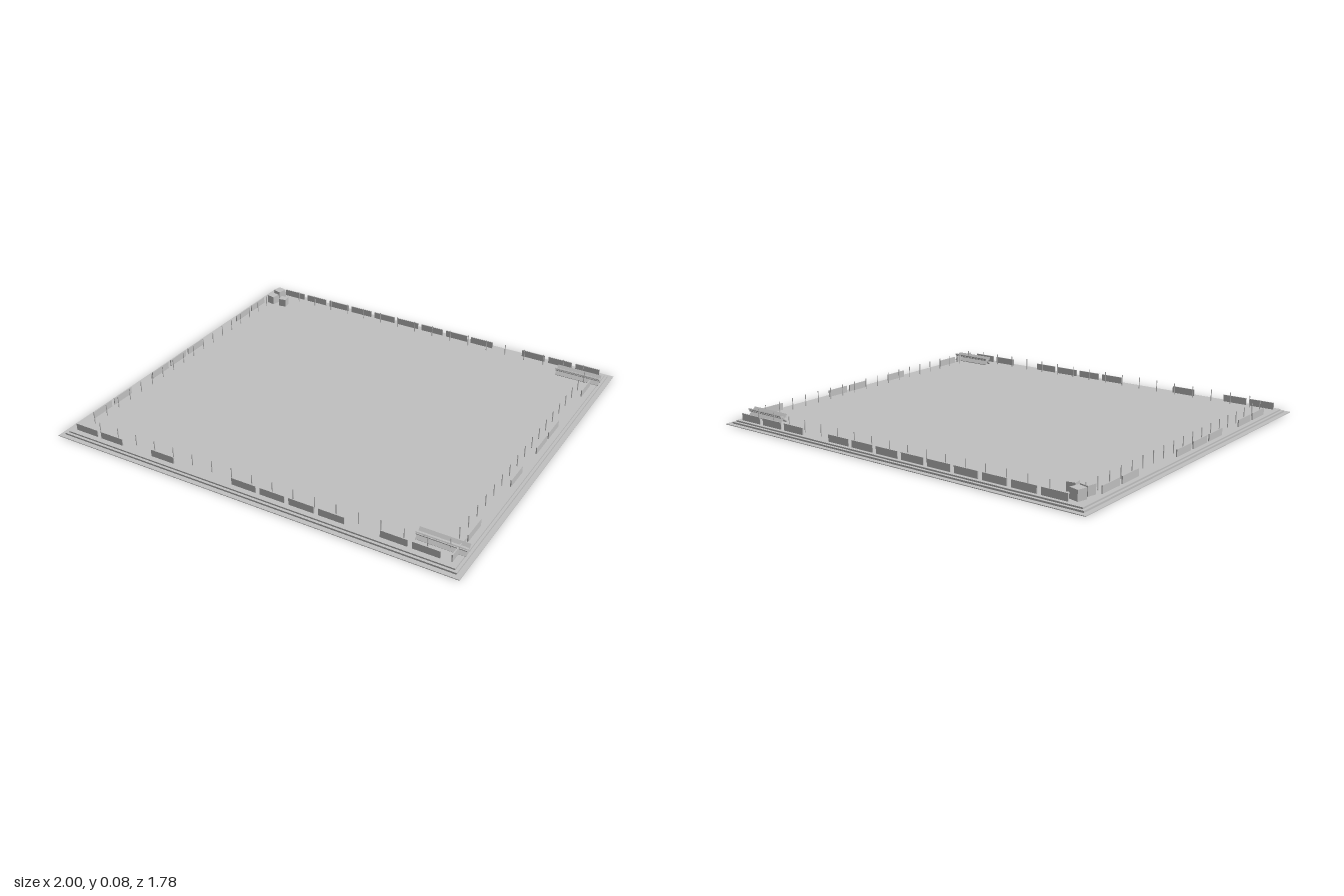
import * as THREE from 'three';

const grey = new THREE.MeshStandardMaterial({ color: 0xc0c0c0 });
grey.name = 'grey';

const FLOOR = 0.018;

function box(name, w, h, d, x, y, z) {
  const mesh = new THREE.Mesh(new THREE.BoxGeometry(w, h, d), grey);
  mesh.name = name;
  mesh.position.set(x, y, z);
  return mesh;
}

// Low wall panel; alongZ turns it to run front to back
function panel(x, z, alongZ) {
  const h = 0.033, long = 0.122, thin = 0.005;
  return box('wallPanel', alongZ ? thin : long, h, alongZ ? long : thin, x, FLOOR + h / 2, z);
}

const postGeometry = new THREE.CylinderGeometry(0.0022, 0.0022, 0.057, 6);
function post(x, z) {
  const mesh = new THREE.Mesh(postGeometry, grey);
  mesh.name = 'post';
  mesh.position.set(x, FLOOR + 0.0285, z);
  return mesh;
}

// Long trestle of crossed planks
function trestle(z) {
  const group = new THREE.Group();
  group.name = 'trestle';
  for (const tilt of [-1, 1]) {
    const plank = box('crossedPlank', 0.22, 0.005, 0.054, 0, 0.02, 0);
    plank.rotation.x = tilt * 0.72;
    group.add(plank);
  }
  group.add(box('rail', 0.22, 0.004, 0.034, 0, 0.026, 0));
  group.position.set(0.862, FLOOR, z);
  return group;
}

export function createModel() {
  const model = new THREE.Group();
  model.name = 'walledYard';

  // Stepped ground slab
  model.add(
    box('groundSheet', 2, 0.003, 1.78, 0, 0.0015, 0),
    box('lowerSlab', 1.955, 0.008, 1.735, 0, 0.007, 0),
    box('upperSlab', 1.93, 0.009, 1.71, 0, FLOOR - 0.0045, 0)
  );

  // Broken perimeter wall
  const walls = new THREE.Group();
  walls.name = 'perimeterWall';
  const pitch = 0.1423;
  for (const k of [0, 1, 2, 3, 4, 5, 6, 7, 8, 10, 11, 12]) walls.add(panel(-0.826 + pitch * k, -0.835, false));
  for (const k of [0, 1, 3, 6, 7, 8, 9, 11, 12]) walls.add(panel(-0.88 + pitch * k, 0.826, false));
  for (const k of [0, 1, 4, 5, 6, 8, 9]) walls.add(panel(-0.94, -0.628 + pitch * k, true));
  for (const k of [0, 3, 4, 6, 9, 10]) walls.add(panel(0.936, -0.66 + pitch * k, true));
  model.add(walls);

  // Rows of thin posts inside the wall
  const posts = new THREE.Group();
  posts.name = 'postRows';
  for (let k = -8; k <= 8; k++) {
    posts.add(post(0.045 + 0.103 * k, -0.8), post(-0.006 + 0.103 * k, 0.795));
  }
  for (let k = -9; k <= 9; k++) {
    posts.add(post(-0.905, 0.083 * k), post(0.9, 0.015 + 0.083 * k));
  }
  model.add(posts);

  // Trestles at the left side corners
  model.add(trestle(-0.755), trestle(0.752));

  // Crates in the back right corner
  for (const [x, z, size, turn] of [
    [-0.9, -0.79, 0.047, -0.25], [-0.9, -0.724, 0.043, -0.2], [-0.832, -0.724, 0.04, 0.15]
  ]) {
    const crate = box('crate', size, size, size, x, FLOOR + size / 2, z);
    crate.rotation.y = turn;
    model.add(crate);
  }
  return model;
}
